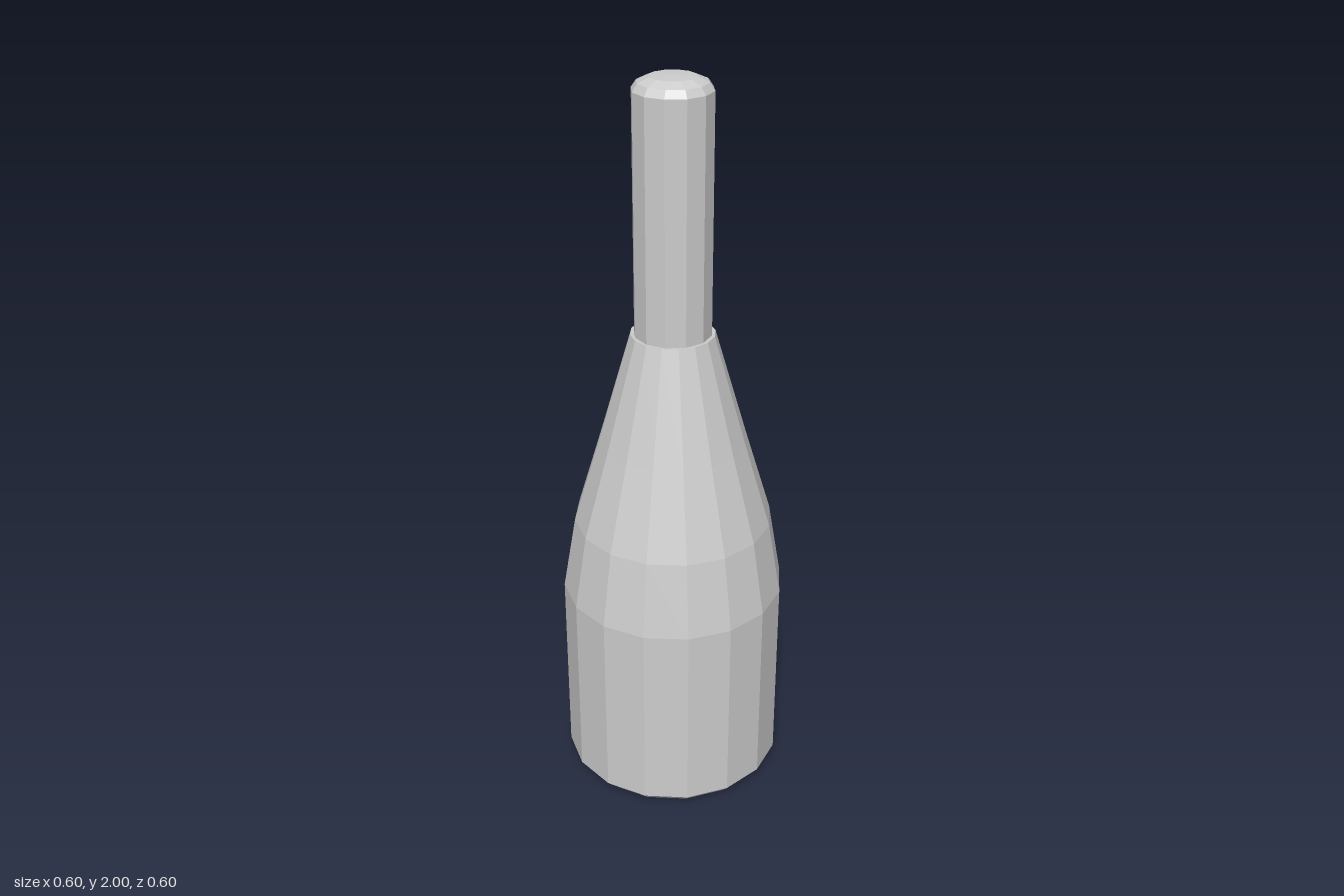
import * as THREE from 'three';

// Faceted solid of revolution, turned so flat sides face the axes
function turned(name, profile, sides, material) {
  const points = profile.map(([r, y]) => new THREE.Vector2(r, y));
  const geometry = new THREE.LatheGeometry(points, sides, Math.PI / sides).toNonIndexed();
  geometry.computeVertexNormals();
  const mesh = new THREE.Mesh(geometry, material);
  mesh.name = name;
  return mesh;
}

export function createModel() {
  const group = new THREE.Group();
  group.name = 'bottle';
  const grey = new THREE.MeshStandardMaterial({ color: 0xcccccc });
  grey.name = 'light grey';
  grey.flatShading = true;

  // Body: bevelled foot, straight wall, shoulder tapering to a small ledge
  group.add(turned('body', [
    [0, 0.005], [0.285, 0.005], [0.308, 0.03], [0.308, 0.58],
    [0.272, 0.79], [0.2, 1.03], [0.112, 1.335], [0, 1.33],
  ], 16, grey));

  // Neck: straight tube with a shallow domed top
  group.add(turned('neck', [
    [0.103, 1.32], [0.103, 1.965], [0.09, 1.984], [0.06, 1.997], [0, 2],
  ], 12, grey));

  // Foot disc resting on the ground
  group.add(turned('foot', [[0, 0], [0.26, 0], [0.285, 0.006]], 16, grey));

  return group;
}
